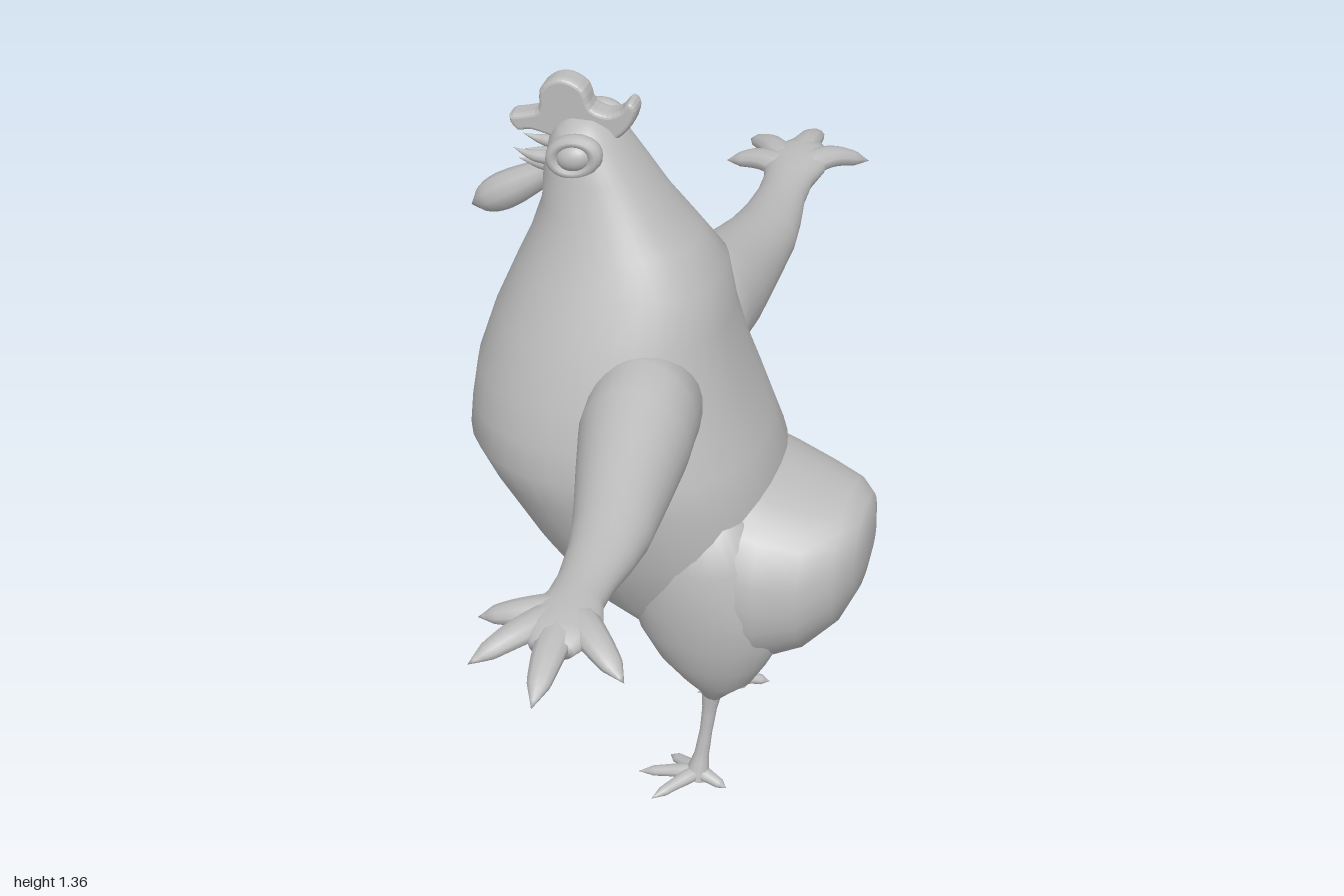
import * as THREE from 'three';
import { mergeVertices } from 'three/addons/utils/BufferGeometryUtils.js';

const grey = new THREE.MeshStandardMaterial({ color: 0xbcbcbc });
grey.name = 'plain grey';

function part(parent, name, geometry) {
  const mesh = new THREE.Mesh(geometry, grey);
  mesh.name = name;
  parent.add(mesh);
  return mesh;
}

// Closed skin through oval sections [t, u0, u1, v0, v1]; place() maps (t, u, v) to x, y, z.
function loft(sections, place, power = 2, sides = 28) {
  const pos = [], idx = [];
  const bend = (c) => Math.sign(c) * Math.abs(c) ** (2 / power);
  for (const [t, u0, u1, v0, v1] of sections) {
    for (let i = 0; i < sides; i++) {
      const a = (i / sides) * Math.PI * 2;
      pos.push(...place(t, (u0 + u1) / 2 + (u1 - u0) / 2 * bend(Math.cos(a)),
        (v0 + v1) / 2 + (v1 - v0) / 2 * bend(Math.sin(a))));
    }
  }
  const rings = sections.length;
  for (let r = 0; r < rings - 1; r++) {
    for (let i = 0; i < sides; i++) {
      const j = (i + 1) % sides, a = r * sides, b = a + sides;
      idx.push(a + i, a + j, b + i, a + j, b + j, b + i);
    }
  }
  for (const r of [0, rings - 1]) {
    const [t, u0, u1, v0, v1] = sections[r], c = pos.length / 3;
    pos.push(...place(t, (u0 + u1) / 2, (v0 + v1) / 2));
    for (let i = 0; i < sides; i++) {
      const a = r * sides + i, b = r * sides + (i + 1) % sides;
      idx.push(...(r === 0 ? [c, b, a] : [c, a, b]));
    }
  }
  // Turn the faces outwards if the mapping mirrored them
  let volume = 0;
  const P = (k) => new THREE.Vector3().fromArray(pos, idx[k] * 3);
  for (let k = 0; k < idx.length; k += 3) volume += P(k).dot(P(k + 1).cross(P(k + 2)));
  if (volume < 0) idx.reverse();
  const g = new THREE.BufferGeometry();
  g.setAttribute('position', new THREE.Float32BufferAttribute(pos, 3));
  g.setIndex(idx);
  g.computeVertexNormals();
  return g;
}

// Tube along points whose radius follows a list, optionally flattened in y
function taper(points, radii, flat = 1, segments = 16, sides = 10) {
  const curve = new THREE.CatmullRomCurve3(points.map((p) => new THREE.Vector3(...p)));
  let g = new THREE.TubeGeometry(curve, segments, 1, sides);
  const p = g.attributes.position, v = new THREE.Vector3();
  for (let i = 0; i < p.count; i++) {
    const u = Math.floor(i / (sides + 1)) / segments;
    const f = u * (radii.length - 1), k = Math.min(Math.floor(f), radii.length - 2);
    const r = THREE.MathUtils.lerp(radii[k], radii[k + 1], f - k);
    const c = curve.getPointAt(u);
    v.fromBufferAttribute(p, i).sub(c).multiplyScalar(r);
    v.y *= flat;
    v.add(c);
    p.setXYZ(i, v.x, v.y, v.z);
  }
  g.deleteAttribute('uv');
  g.deleteAttribute('normal');
  g = mergeVertices(g, 1e-5);
  g.computeVertexNormals();
  return g;
}

export function createModel() {
  const model = new THREE.Group();
  model.name = 'rooster';

  // Torso and head: height, breast x, back x, half width
  const torso = [
    [0.265, 0.0, 0.1, 0.06], [0.29, -0.01, 0.13, 0.1], [0.33, -0.08, 0.17, 0.15], [0.4, -0.16, 0.2, 0.2],
    [0.52, -0.25, 0.21, 0.245], [0.64, -0.33, 0.2, 0.27], [0.7, -0.365, 0.177, 0.272],
    [0.76, -0.36, 0.155, 0.262], [0.83, -0.35, 0.13, 0.242], [0.93, -0.318, 0.105, 0.207],
    [1.02, -0.28, 0.092, 0.165], [1.08, -0.253, 0.045, 0.137], [1.14, -0.233, -0.005, 0.112],
    [1.2, -0.23, -0.045, 0.092], [1.25, -0.22, -0.083, 0.08], [1.28, -0.205, -0.108, 0.062],
    [1.293, -0.185, -0.13, 0.03],
  ].map(([y, a, b, w]) => [y, a, b, -w, w]);
  part(model, 'torsoAndHead', loft(torso, (y, x, z) => [x, y, z], 2.3, 36));

  // Rump: x, bottom, top, half width
  const rump = [
    [0.02, 0.32, 0.68, 0.19], [0.12, 0.27, 0.67, 0.22], [0.2, 0.262, 0.635, 0.22], [0.275, 0.295, 0.607, 0.193],
    [0.33, 0.348, 0.592, 0.15], [0.36, 0.41, 0.572, 0.1], [0.37, 0.46, 0.54, 0.05],
  ].map(([x, a, b, w]) => [x, a, b, -w, w]);
  part(model, 'rump', loft(rump, (x, y, z) => [x, y, z], 2.2));

  // Comb
  const outline = [[-0.2, 1.25], [-0.25, 1.262], [-0.275, 1.258], [-0.288, 1.278], [-0.265, 1.285], [-0.235, 1.298],
    [-0.232, 1.335], [-0.21, 1.357], [-0.185, 1.36], [-0.158, 1.345], [-0.145, 1.312], [-0.115, 1.302],
    [-0.09, 1.312], [-0.075, 1.33], [-0.066, 1.318], [-0.075, 1.29], [-0.1, 1.262], [-0.14, 1.24]];
  const shape = new THREE.Shape(new THREE.SplineCurve(
    [...outline, outline[0]].map((p) => new THREE.Vector2(...p))).getPoints(54));
  const comb = new THREE.ExtrudeGeometry(shape, {
    depth: 0.02, bevelThickness: 0.014, bevelSize: 0.008, bevelOffset: -0.004, bevelSegments: 4,
  }).translate(0, 0, -0.01);
  part(model, 'comb', comb);

  // Drooping bill and the short bristles above it
  part(model, 'bill', taper([[-0.18, 1.2, 0], [-0.24, 1.165, 0], [-0.3, 1.128, 0], [-0.35, 1.098, 0], [-0.372, 1.085, 0]],
    [0.02, 0.022, 0.024, 0.029, 0.033, 0.034, 0.028, 0]));
  for (const s of [-1, 1]) {
    part(model, 'upperBristle', taper([[-0.2, 1.215, 0.03 * s], [-0.25, 1.216, 0.03 * s], [-0.282, 1.225, 0.028 * s]],
      [0.016, 0.011, 0]));
    part(model, 'lowerBristle', taper([[-0.2, 1.195, 0.02 * s], [-0.25, 1.198, 0.02 * s], [-0.276, 1.2, 0.018 * s]],
      [0.016, 0.011, 0]));
  }

  for (const s of [1, -1]) {
    const side = s > 0 ? 'left' : 'right';

    // Eye with its lid ring
    const eye = new THREE.Group();
    eye.name = side + 'Eye';
    eye.position.set(-0.158, 1.247, 0.074 * s);
    eye.rotation.z = 0.3;
    part(eye, 'eyeball', new THREE.SphereGeometry(0.033, 20, 14)).scale.set(1, 0.78, 0.72);
    part(eye, 'eyelid', new THREE.TorusGeometry(0.037, 0.013, 10, 28)).scale.set(1.05, 0.8, 1.3);
    model.add(eye);

    // Wing arm: distance out, x range, y range
    const arm = [
      [0.1, -0.1, 0.09, 0.7, 0.93], [0.2, -0.105, 0.095, 0.703, 0.935], [0.27, -0.1, 0.1, 0.706, 0.918],
      [0.36, -0.078, 0.098, 0.708, 0.893], [0.44, -0.057, 0.098, 0.718, 0.873], [0.52, -0.037, 0.1, 0.735, 0.856],
      [0.6, -0.022, 0.093, 0.75, 0.845], [0.68, -0.014, 0.082, 0.765, 0.838], [0.74, -0.015, 0.082, 0.773, 0.84],
      [0.79, -0.03, 0.096, 0.782, 0.842], [0.84, -0.025, 0.095, 0.786, 0.84], [0.88, 0.0, 0.075, 0.792, 0.832],
    ];
    part(model, side + 'Wing', loft(arm, (z, x, y) => [x, y, z * s]));

    // Feather fingers: tip x, y, z
    const tips = [[-0.108, 0.797, 0.808], [-0.088, 0.79, 0.925], [0.04, 0.783, 1.0], [0.162, 0.785, 0.872 + 0.03]];
    for (const [x, y, z] of tips) {
      const root = [0.035, 0.815, 0.77], mid = [(x + 0.035) / 2, 0.815, (z + 0.79) / 2];
      part(model, side + 'Finger', taper([root, mid, [x, y, z]].map(([a, b, c]) => [a, b, c * s]),
        [0.02, 0.033, 0.03, 0.026, 0.02, 0], 0.7));
    }

    // Thigh: height, x range, z range
    const thigh = [
      [0.6, 0.02, 0.17, 0.1, 0.2], [0.52, -0.03, 0.21, 0.05, 0.235], [0.42, -0.045, 0.25, 0.03, 0.235],
      [0.35, -0.03, 0.245, 0.035, 0.226], [0.29, 0.005, 0.215, 0.05, 0.21], [0.24, 0.05, 0.185, 0.075, 0.185],
      [0.21, 0.08, 0.15, 0.098, 0.162], [0.185, 0.094, 0.124, 0.115, 0.145],
    ];
    part(model, side + 'Thigh', loft(thigh, (y, x, z) => [x, y, z * s]));

    // Shank
    part(model, side + 'Shank', taper([[0.108, 0.21, 0.128 * s], [0.1, 0.12, 0.138 * s], [0.09, 0.04, 0.15 * s], [0.085, 0.01, 0.155 * s]],
      [0.022, 0.014, 0.012, 0.014, 0.024]));

    // Toes: three forward, one back
    for (const [x, z] of [[-0.025, 0.165], [0.02, 0.238], [0.02, 0.1], [0.147, 0.172]]) {
      part(model, side + 'Toe', taper([[0.088, 0.022, 0.153 * s], [(x + 0.088) / 2, 0.016, (z + 0.153) / 2 * s], [x, 0.007, z * s]],
        [0.016, 0.016, 0.013, 0.011, 0], 0.8));
    }
  }
  return model;
}
